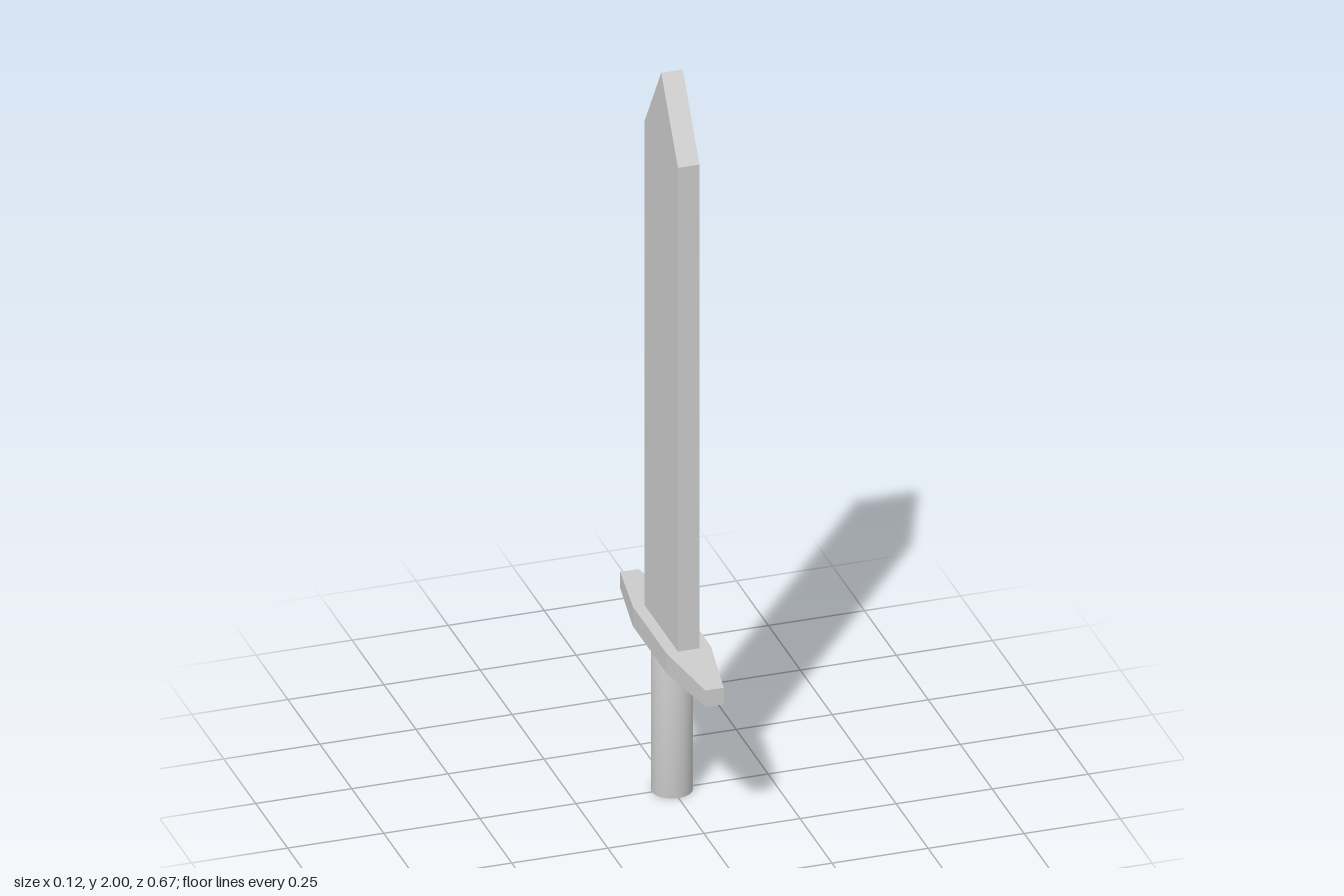
import * as THREE from 'three';
import { mergeVertices } from 'three/addons/utils/BufferGeometryUtils.js';

const grey = new THREE.MeshStandardMaterial({ color: 0xcccccc });

function addPart(group, name, geometry) {
  const mesh = new THREE.Mesh(geometry, grey);
  mesh.name = name;
  group.add(mesh);
}

// Flat slab with a pointed tip, outlined in the side plane
function bladeGeometry() {
  const halfWidth = 0.131, thickness = 0.056;
  const outline = new THREE.Shape([
    [-halfWidth, 0.42], [halfWidth, 0.42], [halfWidth, 1.8], [0, 2], [-halfWidth, 1.8],
  ].map(([x, y]) => new THREE.Vector2(x, y)));
  return new THREE.ExtrudeGeometry(outline, { depth: thickness, bevelEnabled: false })
    .translate(0, 0, -thickness / 2)
    .rotateY(Math.PI / 2);
}

// Box in three lengthwise sections, its outer ends narrowed and slightly lowered
function guardGeometry() {
  const box = new THREE.BoxGeometry(0.116, 1, 3, 1, 1, 3);
  const p = box.attributes.position;
  for (let i = 0; i < p.count; i++) {
    const isEnd = Math.abs(p.getZ(i)) > 1;
    const isTop = p.getY(i) > 0;
    if (isEnd) p.setX(i, Math.sign(p.getX(i)) * 0.024);
    p.setY(i, isTop ? (isEnd ? 0.443 : 0.452) : 0.397);
    p.setZ(i, Math.sign(p.getZ(i)) * (isEnd ? 0.333 : 0.132));
  }
  const flat = box.toNonIndexed();
  flat.computeVertexNormals();
  return flat;
}

// Round grip, with shading blended around the bottom rim
function gripGeometry() {
  const cylinder = new THREE.CylinderGeometry(0.052, 0.052, 0.41, 32).translate(0, 0.205, 0);
  cylinder.deleteAttribute('normal');
  cylinder.deleteAttribute('uv');
  const smooth = mergeVertices(cylinder, 1e-4);
  smooth.computeVertexNormals();
  return smooth;
}

export function createModel() {
  const sword = new THREE.Group();
  sword.name = 'sword';
  addPart(sword, 'blade', bladeGeometry());
  addPart(sword, 'crossguard', guardGeometry());
  addPart(sword, 'grip', gripGeometry());
  return sword;
}
